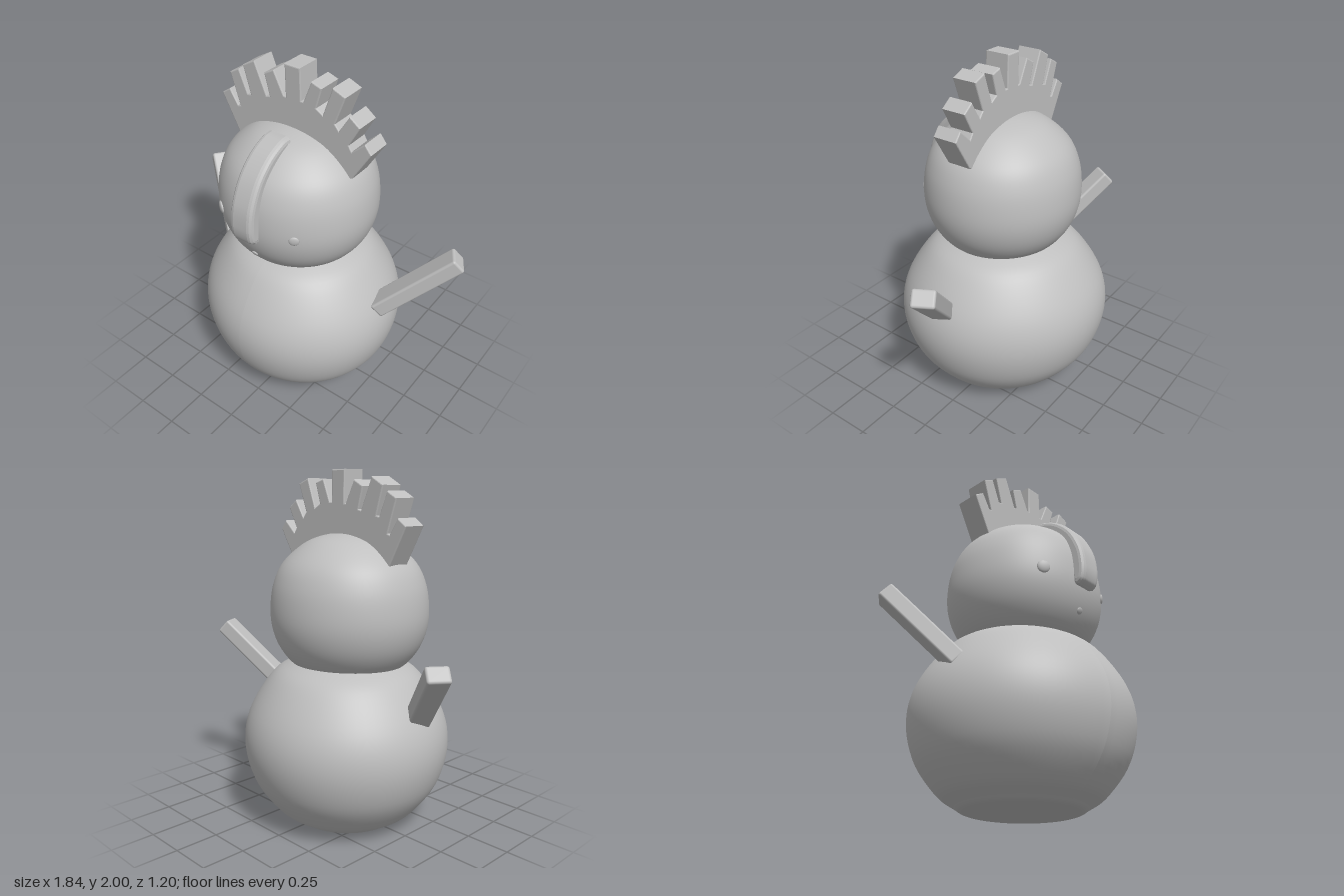
import * as THREE from 'three';
import { RoundedBoxGeometry } from 'three/addons/geometries/RoundedBoxGeometry.js';

const clay = new THREE.MeshStandardMaterial({ color: 0xbfbfbf });
clay.name = 'clayGrey';

const vecs = (pts) => pts.map(([x, y]) => new THREE.Vector2(x, y));

function part(name, geometry) {
  const mesh = new THREE.Mesh(geometry, clay);
  mesh.name = name;
  return mesh;
}

// Smooth ball turned from a [radius, height] profile
function turned(profile) {
  const pts = new THREE.SplineCurve(vecs(profile)).getPoints(56);
  pts.forEach((p) => { p.x = Math.max(p.x, 0); });
  return new THREE.LatheGeometry(pts, 72);
}

// Slab with softened edges, cut from an outline and centred in depth
function slab(shape, depth, bevel, curveSegments = 12) {
  const g = new THREE.ExtrudeGeometry(shape, {
    depth: depth - 2 * bevel, bevelThickness: bevel, bevelSize: bevel,
    bevelOffset: -bevel, bevelSegments: 3, curveSegments,
  });
  return g.translate(0, 0, bevel - depth / 2);
}

export function createModel() {
  const model = new THREE.Group();
  model.name = 'snowFigure';

  // Body: slightly lopsided ball with a flattened underside
  const bodyGeo = turned([
    [0, 0], [0.16, 0.002], [0.3, 0.005], [0.36, 0.035], [0.45, 0.1], [0.565, 0.26],
    [0.615, 0.46], [0.58, 0.65], [0.45, 0.85], [0.33, 0.93], [0.2, 0.97], [0, 0.98],
  ]);
  const p = bodyGeo.attributes.position;
  for (let i = 0; i < p.count; i++) {
    const x = p.getX(i), z = p.getZ(i), r = Math.hypot(x, z) || 1;
    const k = 1 + 0.025 * (2 * x * z) / (r * r);
    p.setX(i, x * k - 0.03);
    p.setZ(i, z * k * 0.975);
  }
  bodyGeo.computeVertexNormals();
  model.add(part('body', bodyGeo));

  // Head
  const head = part('head', turned([
    [0, 0.86], [0.2, 0.87], [0.32, 0.92], [0.4, 1.01], [0.445, 1.12], [0.456, 1.24],
    [0.435, 1.38], [0.375, 1.5], [0.25, 1.605], [0.12, 1.65], [0, 1.662],
  ]));
  head.scale.z = 0.97;
  head.position.set(-0.036, 0, 0.02);
  model.add(head);

  // Long curved nose ridge hugging the face, outlined in (z, y)
  const ridge = new THREE.Shape();
  ridge.moveTo(0.44, 1.16);
  ridge.lineTo(0.48, 1.15);
  ridge.splineThru(vecs([[0.51, 1.18], [0.52, 1.26], [0.5, 1.38], [0.435, 1.51],
    [0.34, 1.605], [0.24, 1.655], [0.18, 1.662]]));
  ridge.lineTo(0.18, 1.58);
  ridge.splineThru(vecs([[0.3, 1.5], [0.38, 1.38], [0.42, 1.25], [0.44, 1.16]]));
  const nose = part('nose', slab(ridge, 0.145, 0.028, 20));
  nose.rotation.y = -Math.PI / 2;
  nose.position.x = -0.037;
  model.add(nose);

  // Toothed crest over the top of the head
  const outline = [
    [-0.24, 1.43], [-0.395, 1.49], [-0.51, 1.71], [-0.453, 1.75], [-0.4, 1.665], [-0.385, 1.67],
    [-0.443, 1.85], [-0.38, 1.885], [-0.325, 1.755], [-0.305, 1.76],
    [-0.35, 1.915], [-0.27, 1.96], [-0.195, 1.785], [-0.175, 1.79],
    [-0.207, 1.91], [-0.143, 1.945], [-0.08, 1.82], [-0.068, 1.82],
    [-0.072, 2.0], [0.026, 2.0], [0.03, 1.825], [0.045, 1.825],
    [0.095, 1.95], [0.158, 1.93], [0.125, 1.815], [0.165, 1.79],
    [0.222, 1.955], [0.298, 1.925], [0.24, 1.765], [0.265, 1.735],
    [0.326, 1.835], [0.388, 1.79], [0.326, 1.675], [0.345, 1.645],
    [0.42, 1.715], [0.46, 1.666], [0.355, 1.49], [0.19, 1.43],
  ];
  const crest = part('crest', slab(new THREE.Shape(vecs(outline)), 0.145, 0.007));
  crest.position.z = 0.015;
  model.add(crest);

  // Arms: square sticks reaching up, out and back
  const arms = [
    ['leftArm', [0.52, 0.66, 0.03], [0.885, 1.045, -0.18]],
    ['rightArm', [-0.54, 0.68, 0.03], [-0.855, 1.04, -0.205]],
  ];
  for (const [name, from, to] of arms) {
    const a = new THREE.Vector3(...from), b = new THREE.Vector3(...to);
    const arm = part(name, new RoundedBoxGeometry(0.125, 0.095, a.distanceTo(b), 3, 0.014));
    arm.position.copy(a).lerp(b, 0.5);
    arm.lookAt(b);
    model.add(arm);
  }

  // Shallow button eyes and mouth: name, x, y, z, radius
  const centre = new THREE.Vector3(-0.036, 1.24, 0.02);
  const buttons = [
    ['leftEye', 0.215, 1.21, 0.39, 0.028],
    ['rightEye', -0.285, 1.21, 0.392, 0.036],
    ['mouth', -0.03, 1.03, 0.423, 0.02],
  ];
  for (const [name, x, y, z, r] of buttons) {
    const button = part(name, new THREE.SphereGeometry(r, 20, 12).scale(1, 1, 0.35));
    button.position.set(x, y, z);
    button.lookAt(new THREE.Vector3(x, y, z).multiplyScalar(2).sub(centre));
    model.add(button);
  }

  return model;
}
